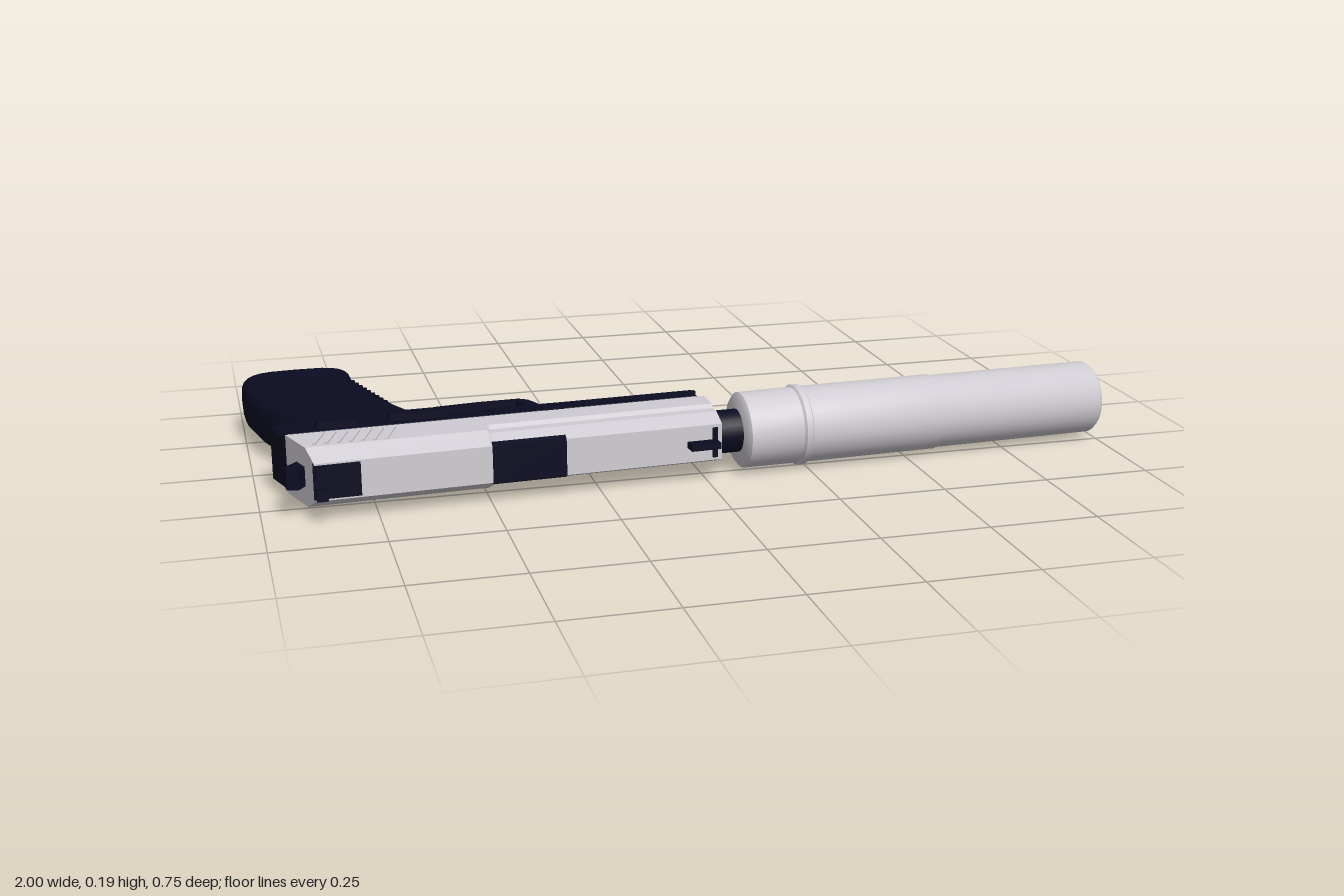
import * as THREE from 'three';
import { toCreasedNormals } from 'three/addons/utils/BufferGeometryUtils.js';

const light = new THREE.MeshStandardMaterial({ color: 0xd0ccd3 });
light.name = 'pale grey metal';
const dark = new THREE.MeshStandardMaterial({ color: 0x0b0b22 });
dark.name = 'dark navy polymer';

// Inside the body group: x runs to the muzzle, y from grip to sights, z across the thickness.
const body = () => {
  const g = new THREE.Group();
  g.name = 'pistol';
  g.rotation.x = Math.PI / 2 - 0.021;
  g.position.y = 0.0863;
  return g;
};

function add(parent, name, geo, mat, x = 0, y = 0, z = 0, tilt = 0) {
  const m = new THREE.Mesh(geo, mat);
  m.name = name;
  m.position.set(x, y, z);
  m.rotation.z = tilt;
  parent.add(m);
  return m;
}

const box = (w, h, d) => new THREE.BoxGeometry(w, h, d);

// Solid skin over matching rings of points, capped at both ends and turned outward.
function loft(rings, crease = 0.5) {
  const n = rings[0].length, tris = [];
  for (let r = 0; r < rings.length - 1; r++) {
    for (let i = 0; i < n; i++) {
      const j = (i + 1) % n, a = rings[r], b = rings[r + 1];
      tris.push([a[i], a[j], b[j]], [a[i], b[j], b[i]]);
    }
  }
  const last = rings[rings.length - 1];
  for (let i = 1; i < n - 1; i++) {
    tris.push([rings[0][0], rings[0][i + 1], rings[0][i]], [last[0], last[i], last[i + 1]]);
  }
  const V = p => new THREE.Vector3(...p);
  const volume = tris.reduce((s, t) => s + V(t[0]).dot(V(t[1]).cross(V(t[2]))), 0);
  const ordered = volume < 0 ? tris.map(t => [t[0], t[2], t[1]]) : tris;
  const geo = new THREE.BufferGeometry();
  geo.setAttribute('position', new THREE.Float32BufferAttribute(ordered.flat(2), 3));
  return toCreasedNormals(geo, crease);
}

// Side outline extruded evenly about the middle plane.
function slab(points, half, hole, bevel = 0) {
  const toV = list => list.map(p => new THREE.Vector2(...p));
  const shape = new THREE.Shape(toV(points));
  if (hole) shape.holes.push(new THREE.Path(toV(hole)));
  const geo = new THREE.ExtrudeGeometry(shape, {
    depth: 2 * (half - bevel), bevelEnabled: bevel > 0, bevelSize: bevel,
    bevelThickness: bevel, bevelOffset: -bevel, bevelSegments: 1,
  });
  geo.translate(0, 0, bevel - half);
  return toCreasedNormals(geo, 0.5);
}

const slope = -0.054;
const slideTop = x => 0.35 + (x + 0.885) * slope;
const slideBottom = x => 0.2 + (x + 0.933) * slope;

// Slide cross-section; lean pulls the upper points forward for the slanted rear.
function slideRing(x, front, lean = 0) {
  const t = slideTop(x), b = slideBottom(x), h = t - b;
  const upper = front ? 0.059 : 0.067;
  const half = [[b, 0.067], [b + 0.07, 0.067], [b + 0.08, upper], [t - 0.045, upper], [t, 0.042]];
  const pt = ([v, w]) => [x + lean * (v - b) / h, v, w];
  return [...half.map(pt), ...half.map(([v, w]) => pt([v, -w])).reverse()];
}

// Grip cross-section: a rounded rectangle between its back and front edge.
function gripRing([xb, vb, xf, vf, half]) {
  const ring = [];
  for (let i = 0; i < 28; i++) {
    const a = i / 28 * Math.PI * 2, c = Math.cos(a), s = Math.sin(a);
    const u = 0.5 + 0.5 * Math.sign(c) * Math.abs(c) ** 0.5;
    ring.push([xb + (xf - xb) * u, vb + (vf - vb) * u, half * Math.sign(s) * Math.abs(s) ** 0.5]);
  }
  return ring;
}

function buildFrame(g) {
  add(g, 'frame', slab([
    [-0.96, 0.11], [-0.933, 0.2], [0.025, 0.148], [0.03, 0.08], [-0.29, 0.097],
    [-0.56, 0.105], [-0.63, 0.06], [-0.88, 0.07],
  ], 0.066, null, 0.008), dark);

  add(g, 'grip', loft([
    [-1, -0.364, -0.73, -0.374, 0.066], [-1, -0.335, -0.735, -0.34, 0.066],
    [-0.998, -0.27, -0.725, -0.28, 0.064], [-0.97, -0.13, -0.683, -0.14, 0.065],
    [-0.93, -0.037, -0.652, -0.03, 0.066], [-0.888, 0.04, -0.63, 0.02, 0.066],
    [-0.885, 0.085, -0.62, 0.085, 0.066], [-0.9, 0.13, -0.6, 0.12, 0.066],
  ].map(gripRing), 0.9), dark);
  add(g, 'magazineBase', box(0.23, 0.012, 0.1), dark, -0.86, -0.368, 0, -0.037);

  // Grooves across the front strap
  for (let i = 0; i < 9; i++) {
    const v = -0.32 + i * 0.026;
    add(g, 'frontStrapRib', box(0.012, 0.012, 0.08), dark, -0.685 + (v + 0.14) * 0.27, v);
  }

  add(g, 'triggerGuard', slab([
    [-0.67, -0.02], [-0.62, -0.035], [-0.56, -0.05], [-0.46, -0.062], [-0.366, -0.065],
    [-0.345, -0.05], [-0.28, 0.11], [-0.64, 0.12],
  ], 0.034, [
    [-0.632, 0.01], [-0.6, -0.016], [-0.55, -0.035], [-0.46, -0.048], [-0.375, -0.05],
    [-0.322, 0.088], [-0.335, 0.1], [-0.57, 0.105], [-0.61, 0.085], [-0.632, 0.05],
  ]), dark);

  add(g, 'trigger', slab([
    [-0.45, -0.03], [-0.485, -0.02], [-0.508, 0.008], [-0.516, 0.05], [-0.49, 0.115],
    [-0.455, 0.115], [-0.483, 0.075], [-0.495, 0.045], [-0.488, 0.015], [-0.45, -0.012],
  ], 0.018), dark);

  // Side controls: negative z is the side that faces upward
  add(g, 'safetyLever', box(0.085, 0.03, 0.018), dark, -0.82, 0.155, -0.072, slope);
  add(g, 'slideRelease', box(0.13, 0.025, 0.02), dark, -0.635, 0.14, -0.073, slope);
  add(g, 'takedownLever', box(0.05, 0.025, 0.01), dark, -0.325, 0.152, -0.068, slope);
  add(g, 'farSafetyLever', box(0.12, 0.03, 0.016), dark, -0.81, 0.15, 0.069, slope);
  for (const s of [-1, 1]) {
    add(g, 'accessoryRail', box(0.27, 0.012, 0.006), dark, -0.11, 0.115, s * 0.066, slope);
  }
}

function buildSlide(g) {
  add(g, 'slide', loft([
    slideRing(-0.933, false, 0.048), slideRing(-0.5, false),
    slideRing(-0.49, true), slideRing(0.035, true),
  ], 0.2), light);

  // Slanted rear gripping ribs
  for (const s of [-1, 1]) {
    for (let i = 0; i < 7; i++) {
      add(g, 'slideSerration', box(0.007, 0.09, 0.006), light, -0.865 + i * 0.026, 0.25, s * 0.067, 0.32);
    }
  }

  // Dark cap hugging the chamfered top of the slide
  const capRing = (x, drop, half) => {
    const t = slideTop(x) + 0.003;
    return [[x, t - drop, half + 0.002], [x, t, half - 0.004], [x, t, 4e-3 - half], [x, t - drop, -half - 0.002]];
  };
  add(g, 'ejectionPort', loft([capRing(-0.497, 0.014, 0.047), capRing(-0.33, 0.014, 0.047)]), dark);
  add(g, 'rearSightBase', loft([capRing(-0.888, 0.012, 0.042), capRing(-0.786, 0.012, 0.042)]), dark);
  for (const s of [-1, 1]) {
    add(g, 'rearSightPost', box(0.025, 0.03, 0.026), dark, -0.872, 0.356, s * 0.025, slope);
  }
  add(g, 'frontSight', box(0.07, 0.035, 0.014), dark, -0.012, 0.319, 0, slope);
  add(g, 'frontSightFoot', box(0.012, 0.014, 0.07), dark, 0.018, 0.299, 0, slope);
  add(g, 'hammer', slab([[-0.9, 0.235], [-0.925, 0.27], [-0.945, 0.29], [-0.943, 0.32],
    [-0.918, 0.325], [-0.895, 0.29]], 0.022), dark);
}

function buildMuzzle(g) {
  const muzzle = new THREE.Group();
  muzzle.name = 'muzzle';
  muzzle.position.set(0.088, 0.24, -0.005);
  muzzle.rotation.z = -0.0465;
  g.add(muzzle);

  // Lathe axis is laid along the barrel
  const barrel = add(muzzle, 'barrel', new THREE.CylinderGeometry(0.05, 0.05, 0.1, 24), dark, -0.01);
  barrel.rotation.z = -Math.PI / 2;
  const profile = [
    [0, 0], [0.078, 0], [0.088, 0.008], [0.089, 0.135], [0.094, 0.14], [0.094, 0.154],
    [0.089, 0.158], [0.089, 0.485], [0.0865, 0.489], [0.0865, 0.897], [0.079, 0.907],
    [0.045, 0.902], [0.03, 0.89], [0.022, 0.865], [0, 0.86],
  ].map(p => new THREE.Vector2(...p));
  const tube = add(muzzle, 'suppressor', toCreasedNormals(new THREE.LatheGeometry(profile, 32), 0.7), light);
  tube.rotation.z = -Math.PI / 2;

  // Recoil rod ring below the barrel
  const ring = add(g, 'recoilRodRing', new THREE.TorusGeometry(0.025, 0.009, 8, 20), light, 0.034, 0.15);
  ring.rotation.y = Math.PI / 2;
}

export function createModel() {
  const model = new THREE.Group();
  model.name = 'suppressedPistol';
  const g = body();
  model.add(g);
  buildFrame(g);
  buildSlide(g);
  buildMuzzle(g);
  return model;
}
